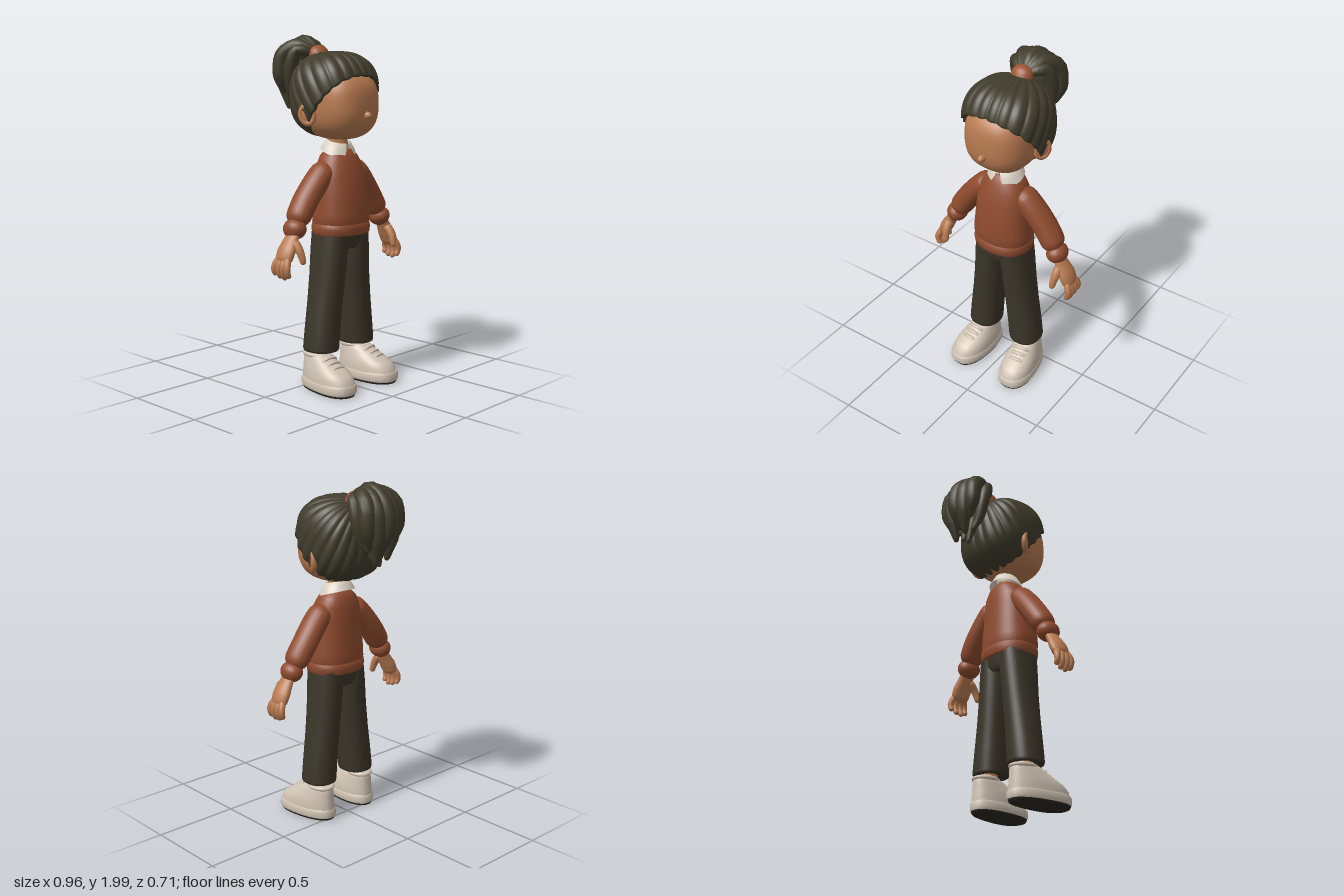
import * as THREE from 'three';

const V = (x, y, z) => new THREE.Vector3(x, y, z);
const mat = (name, color, side = THREE.FrontSide) => {
  const m = new THREE.MeshStandardMaterial({ color, side });
  m.name = name;
  return m;
};

// Skin a stack of point rings; closed rings get flat end caps.
function loft(rings, closed = true) {
  const n = rings[0].length, pos = [], idx = [];
  rings.flat().forEach(p => pos.push(p.x, p.y, p.z));
  for (let i = 0; i < rings.length - 1; i++) {
    for (let j = 0; j < (closed ? n : n - 1); j++) {
      const k = (j + 1) % n, a = i * n + j, b = i * n + k;
      idx.push(a, b, a + n, b, b + n, a + n);
    }
  }
  if (closed) [rings[0], rings[rings.length - 1]].forEach((ring, end) => {
    const base = pos.length / 3, c = V(0, 0, 0);
    ring.forEach(p => { c.add(p); pos.push(p.x, p.y, p.z); });
    c.divideScalar(n);
    pos.push(c.x, c.y, c.z);
    for (let j = 0; j < n; j++) {
      const a = base + j, b = base + (j + 1) % n;
      if (end) idx.push(a, b, base + n); else idx.push(b, a, base + n);
    }
  });
  const g = new THREE.BufferGeometry();
  g.setAttribute('position', new THREE.Float32BufferAttribute(pos, 3));
  g.setIndex(idx);
  g.computeVertexNormals();
  return g;
}

// Horizontal superellipse sections: [y, centreX, halfX, centreZ, halfZ]
function stack(sections, p = 2, n = 36) {
  const pw = v => Math.sign(v) * Math.abs(v) ** (2 / p);
  return loft(sections.map(([y, cx, rx, cz, rz]) => Array.from({ length: n }, (_, j) => {
    const a = j / n * Math.PI * 2;
    return V(cx + rx * pw(Math.sin(a)), y, cz + rz * pw(Math.cos(a)));
  })));
}

// Round-ended tapered limb; w scales the width across the ref axis.
function limb(points, radii, w = 1, ref = V(0, 0, 1), n = 14, steps = 22) {
  const curve = new THREE.CatmullRomCurve3(points.map(p => V(...p))), len = curve.getLength(), rings = [];
  for (let i = 0; i <= steps; i++) {
    const t = 0.5 - 0.5 * Math.cos(Math.PI * i / steps);
    const c = curve.getPointAt(t), T = curve.getTangentAt(t);
    const B = T.clone().cross(ref).normalize(), N = B.clone().cross(T);
    const f = t * (radii.length - 1), k = Math.min(Math.floor(f), radii.length - 2);
    let r = THREE.MathUtils.lerp(radii[k], radii[k + 1], f - k);
    const u = Math.min(1, Math.min(t, 1 - t) * len / (r * w));
    r *= Math.max(0.02, Math.sqrt(1 - (1 - u) ** 2));
    rings.push(Array.from({ length: n }, (_, j) => {
      const a = j / n * Math.PI * 2;
      return c.clone().addScaledVector(N, r * Math.cos(a)).addScaledVector(B, r * w * Math.sin(a));
    }));
  }
  return loft(rings);
}

// Superellipsoid shell around a tilted pole, cut at reach(angle), with ribs.
function shell(c, radii, p, tilt, reach, rib, n, steps) {
  const P = V(0, Math.cos(tilt), -Math.sin(tilt)), F = V(0, Math.sin(tilt), Math.cos(tilt));
  const rings = [];
  for (let i = 0; i <= steps; i++) {
    rings.push(Array.from({ length: n }, (_, j) => {
      const a = j / n * Math.PI * 2, t = reach(a) * (1 - Math.max(0, i - 2) / (steps - 2)) + 1e-3;
      const d = P.clone().multiplyScalar(Math.cos(t)).addScaledVector(F, Math.sin(t) * Math.cos(a));
      d.x = Math.sin(t) * Math.sin(a);
      const s = (Math.abs(d.x / radii[0]) ** p + Math.abs(d.y / radii[1]) ** p + Math.abs(d.z / radii[2]) ** p) ** (-1 / p);
      const tuck = [0.84, 0.95, 1][Math.min(i, 2)];
      return d.multiplyScalar(s * (rib ? tuck : 1) * (1 + rib(a) * Math.sin(t))).add(c);
    }));
  }
  return loft(rings);
}

export function createModel() {
  const model = new THREE.Group();
  const skin = mat('skin', 0xb87a50), knit = mat('rust knit', 0x8f4b2e), hair = mat('dark hair', 0x403c2c);
  const cloth = mat('dark trousers', 0x3b3529), shoe = mat('pale shoe', 0xcfc2b2), sole = mat('dark sole', 0x2a2621);
  const linen = mat('white collar', 0xd9d0c2, THREE.DoubleSide), band = mat('hair band', 0x9c5434);
  const add = (name, geometry, material, parent = model) => {
    const m = new THREE.Mesh(geometry, material);
    m.name = name;
    parent.add(m);
    return m;
  };
  const ball = (name, material, at, size) => {
    const m = add(name, new THREE.SphereGeometry(1, 24, 18), material);
    m.position.set(...at);
    m.scale.set(...size);
    return m;
  };
  const X = V(1, 0, 0);

  // Head, nose and neck
  const head = shell(V(0, 1.61, 0.095), [0.194, 0.2, 0.207], 2.6, 0, () => Math.PI - 0.002, () => 0, 48, 36);
  add('head', head, skin);
  ball('nose', skin, [0, 1.55, 0.302], [0.02, 0.022, 0.029]);
  add('neck', limb([[0, 1.3, 0.09], [0, 1.38, 0.09], [0, 1.47, 0.085]], [0.05, 0.05], 1), skin);

  // Swept-back hair with ribs radiating from the band
  const ribs = a => 0.05 * Math.abs(Math.sin(11 * (a + 0.05 * Math.sin(3 * a)))) ** 0.7 - 0.02;
  add('sweptHair', shell(V(0, 1.66, 0.055), [0.24, 0.237, 0.222], 2.5, 0.56,
    a => 1.97 - 0.33 * Math.cos(a) + 0.03 * Math.abs(Math.sin(11 * a)), ribs, 198, 36), hair);
  add('hairBand', limb([[0, 1.815, -0.035], [0, 1.87, -0.062], [0, 1.93, -0.092]], [0.066, 0.064, 0.062], 0.8, X, 24), band);

  // Ponytail: a core with outer and inner layers of strands
  ball('ponytailCore', hair, [0, 1.83, -0.225], [0.11, 0.125, 0.095]);
  [-1, -0.5, 0, 0.5, 1].forEach((s, i) => {
    const e = Math.abs(s), tip = [1.66, 1.57, 1.61, 1.55, 1.64][i];
    add('outerStrand', limb([[0.015 * s, 1.89, -0.085], [0.06 * s, 1.955 - 0.025 * e, -0.17],
      [0.1 * s, 1.885, -0.28 + 0.03 * e], [0.11 * s, 1.76, -0.312 + 0.04 * e], [0.08 * s, tip, -0.265]],
    [0.03, 0.045, 0.05, 0.045, 0.014], 0.95, X), hair);
  });
  [-1, -0.35, 0.35, 1].forEach((s, i) => {
    add('innerStrand', limb([[0.02 * s, 1.89, -0.09], [0.09 * s, 1.905, -0.15], [0.108 * s, 1.8, -0.19],
      [0.085 * s, 1.67, -0.205], [0.06 * s, [1.6, 1.53, 1.56, 1.62][i], -0.23]],
    [0.03, 0.04, 0.042, 0.035, 0.012], 0.9, X), hair);
  });

  // Sweater body and hem
  add('sweater', stack([[0.93, 0, 0.16, 0.105, 0.13], [0.95, 0, 0.173, 0.107, 0.14], [1.0, 0, 0.172, 0.108, 0.14],
    [1.1, 0, 0.162, 0.107, 0.132], [1.2, 0, 0.155, 0.102, 0.121], [1.27, 0, 0.14, 0.093, 0.107],
    [1.32, 0, 0.112, 0.088, 0.092], [1.35, 0, 0.082, 0.087, 0.072], [1.36, 0, 0.05, 0.087, 0.045]], 2.3), knit);
  add('sweaterHem', stack([[0.88, 0, 0.162, 0.105, 0.135], [0.885, 0, 0.17, 0.105, 0.142], [0.915, 0, 0.174, 0.105, 0.146],
    [0.94, 0, 0.171, 0.105, 0.142], [0.948, 0, 0.16, 0.105, 0.13]], 2.3), knit);

  // Folded collar, open at the front: [y, halfX, halfZ, gap, droop]
  const collar = [[1.338, 0.108, 0.097, 0.42, 0.03], [1.37, 0.094, 0.084, 0.24, 0.02],
    [1.403, 0.07, 0.068, 0.1, 0.015], [1.4, 0.06, 0.06, 0.1, 0.015], [1.36, 0.056, 0.056, 0.12, 0.015]];
  add('collar', loft(collar.map(([y, rx, rz, gap, droop]) => Array.from({ length: 41 }, (_, j) => {
    const a = gap + (Math.PI * 2 - 2 * gap) * j / 40;
    return V(rx * Math.sin(a), y - droop * Math.cos(a), 0.087 + rz * Math.cos(a));
  }), ), false), linen);

  // Hips
  add('hips', stack([[0.8, 0, 0.1, 0.098, 0.1], [0.83, 0, 0.155, 0.098, 0.114], [0.93, 0, 0.158, 0.1, 0.122]], 2.3), cloth);

  for (const s of [1, -1]) {
    // Ears
    const ear = new THREE.Group();
    ear.name = 'ear';
    ear.position.set(s * 0.212, 1.555, 0.05);
    ear.rotation.set(0, s * 0.95, -s * 0.12);
    model.add(ear);
    add('earBowl', new THREE.SphereGeometry(1, 20, 14), skin, ear).scale.set(0.046, 0.056, 0.017);
    add('earRim', new THREE.TorusGeometry(0.038, 0.014, 10, 28), skin, ear).scale.set(1, 1.3, 1.2);

    // Sleeves and cuffs
    add('sleeve', limb([[s * 0.09, 1.272, 0.09], [s * 0.17, 1.19, 0.085], [s * 0.26, 1.08, 0.078], [s * 0.345, 0.955, 0.085]],
      [0.074, 0.078, 0.077, 0.074], 0.88, undefined, 22), knit);
    add('cuff', limb([[s * 0.322, 0.99, 0.084], [s * 0.345, 0.945, 0.086], [s * 0.374, 0.885, 0.09]],
      [0.072, 0.071, 0.066], 0.84, undefined, 22), knit);

    // Hands
    add('palm', limb([[s * 0.34, 0.95, 0.09], [s * 0.385, 0.88, 0.092], [s * 0.425, 0.81, 0.092], [s * 0.445, 0.755, 0.09]],
      [0.042, 0.048, 0.062, 0.056], 0.58, undefined, 18), skin);
    [0.043, 0.077, 0.11, 0.142].forEach((z, i) => {
      const drop = [0.025, 0.005, 0, 0.015][i];
      add('finger', limb([[s * 0.432, 0.8, 0.5 * z + 0.046], [s * 0.461, 0.745, z], [s * 0.459, 0.71, z], [s * 0.442, 0.672 + drop, z]],
        [0.02, 0.02, 0.018, 0.015], 1, undefined, 12, 14), skin);
    });
    add('thumb', limb([[s * 0.385, 0.88, 0.115], [s * 0.382, 0.825, 0.16], [s * 0.374, 0.755, 0.182]],
      [0.028, 0.023, 0.016], 1, X, 12, 14), skin);

    // Trouser legs
    add('trouserLeg', stack([[0.225, s * 0.146, 0.084, 0.09, 0.09], [0.22, s * 0.146, 0.092, 0.09, 0.098],
      [0.235, s * 0.146, 0.096, 0.09, 0.101], [0.35, s * 0.135, 0.094, 0.091, 0.1], [0.5, s * 0.117, 0.09, 0.093, 0.102],
      [0.65, s * 0.1, 0.088, 0.095, 0.107], [0.8, s * 0.087, 0.088, 0.098, 0.114], [0.92, s * 0.08, 0.08, 0.1, 0.116]], 2.3), cloth);
    add('ankle', limb([[s * 0.148, 0.12, 0.075], [s * 0.148, 0.2, 0.078], [s * 0.146, 0.3, 0.085]], [0.05, 0.05], 1), skin);

    // Shoes, toes turned slightly outward
    const foot = new THREE.Group();
    foot.name = 'shoe';
    foot.position.x = s * 0.15;
    foot.rotation.y = s * 0.1;
    model.add(foot);
    const toes = g => {
      const p = g.attributes.position;
      for (let i = 0; i < p.count; i++) p.setX(i, p.getX(i) * (0.86 + 0.55 * Math.max(0, p.getZ(i))));
      g.computeVertexNormals();
      return g;
    };
    add('sole', toes(stack([[0, 0, 0.094, 0.165, 0.186], [0.012, 0, 0.1, 0.165, 0.192]], 2.4)), sole, foot);
    add('midsole', toes(stack([[0.012, 0, 0.1, 0.165, 0.192], [0.025, 0, 0.107, 0.165, 0.197], [0.055, 0, 0.106, 0.165, 0.196],
      [0.065, 0, 0.098, 0.165, 0.188]], 2.4)), shoe, foot);
    add('upper', toes(stack([[0.05, 0, 0.1, 0.164, 0.188], [0.085, 0, 0.1, 0.161, 0.185], [0.115, 0, 0.095, 0.149, 0.17],
      [0.14, 0, 0.087, 0.126, 0.146], [0.165, 0, 0.078, 0.103, 0.122], [0.19, 0, 0.071, 0.083, 0.1],
      [0.203, 0, 0.06, 0.075, 0.085]], 2.3)), shoe, foot);
    const rim = add('shoeRim', new THREE.TorusGeometry(0.058, 0.013, 10, 30), shoe, foot);
    rim.position.set(0, 0.197, 0.064);
    rim.rotation.x = Math.PI / 2;
    rim.scale.y = 1.25;
    [[0.185, 0.19], [0.215, 0.168], [0.247, 0.148]].forEach(([z, y]) => {
      add('lace', limb([[-0.058, y - 0.03, z - 0.02], [-0.03, y, z], [0.03, y, z], [0.058, y - 0.03, z - 0.02]],
        [0.01, 0.011, 0.01], 0.8, undefined, 8, 12), shoe, foot);
    });
  }
  return model;
}
